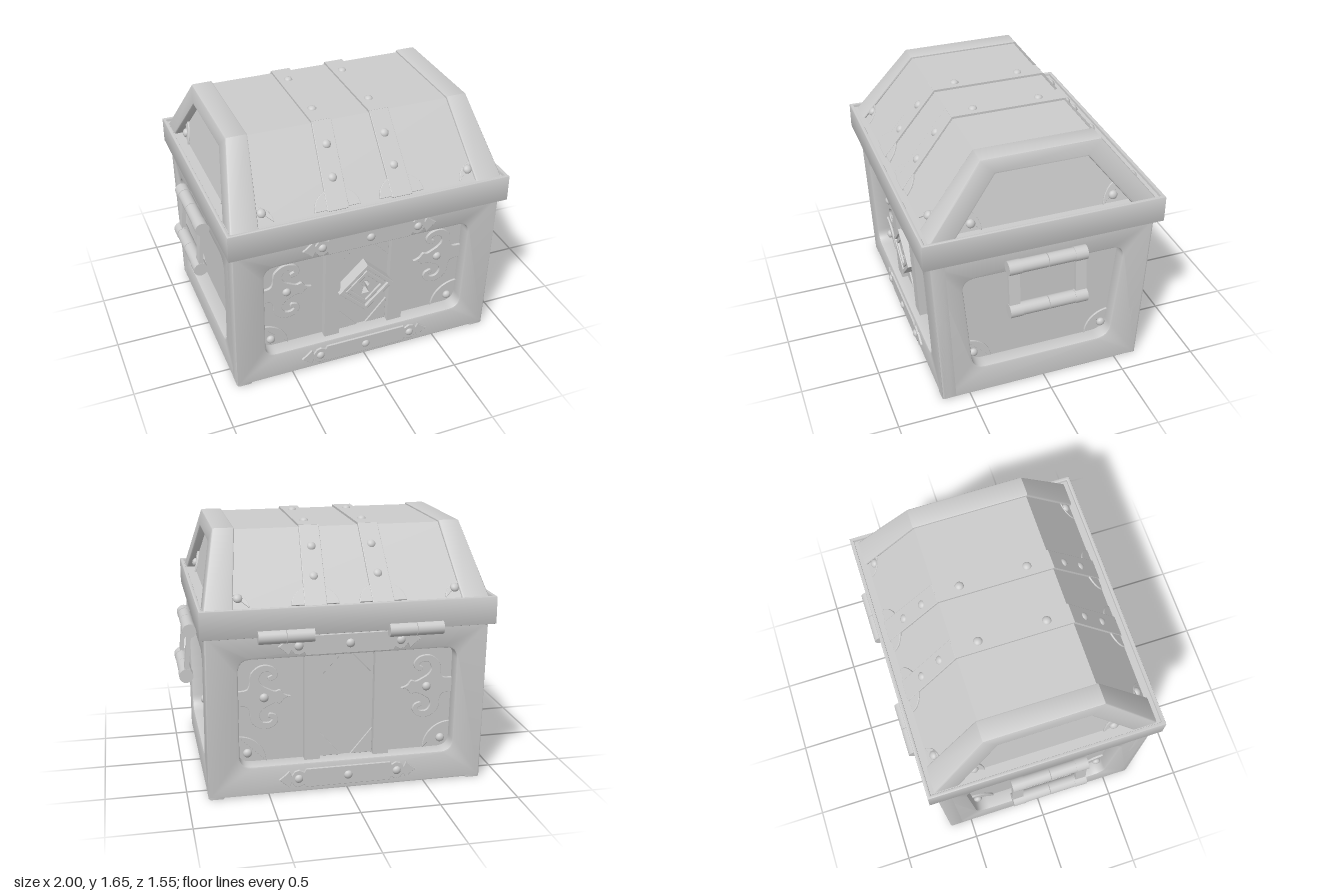
import * as THREE from 'three';
import { toCreasedNormals } from 'three/addons/utils/BufferGeometryUtils.js';

const mat = new THREE.MeshStandardMaterial({ color: 0xcccccc });
const RECESS = 0.09; // depth of the wall panels behind their frames
const FLOOR = -RECESS - 0.001;

function add(parent, name, geo, x = 0, y = 0, z = 0) {
  const m = new THREE.Mesh(geo, mat);
  m.name = name;
  m.position.set(x, y, z);
  parent.add(m);
  return m;
}

// A group whose local +z points out of one side of the chest, leaning by tilt
function face(parent, name, angle, dist, y = 0, tilt = 0) {
  const g = new THREE.Group();
  g.name = name;
  g.rotation.set(tilt, angle, 0, 'YXZ');
  g.position.set(Math.sin(angle) * dist, y, Math.cos(angle) * dist);
  parent.add(g);
  return g;
}

const poly = pts => new THREE.Shape(pts.map(p => new THREE.Vector2(...p)));
const flip = pts => pts.map(([x, y]) => [-x, y]).reverse();
const diamond = r => [[r, 0], [0, r], [-r, 0], [0, -r]];

function withHole(shape, path) {
  shape.holes.push(path);
  return shape;
}

function roundedPath(pts, r) {
  const path = new THREE.Path(), v = pts.map(p => new THREE.Vector2(...p)), n = v.length;
  const toward = (a, b) => b.clone().sub(a).setLength(r).add(a);
  v.forEach((p, i) => {
    const a = toward(p, v[(i + n - 1) % n]), b = toward(p, v[(i + 1) % n]);
    if (i) path.lineTo(a.x, a.y); else path.moveTo(a.x, a.y);
    path.quadraticCurveTo(p.x, p.y, b.x, b.y);
  });
  path.closePath();
  return path;
}

// Extruded plate from z = 0 to z = depth with its edges softened inside the outline
function plate(shape, depth, bevel = 0.003) {
  const g = new THREE.ExtrudeGeometry(shape, {
    depth: depth - 2 * bevel, bevelEnabled: bevel > 0, bevelThickness: bevel, bevelSize: bevel,
    bevelOffset: -bevel, bevelSegments: 2, curveSegments: 10,
  });
  return toCreasedNormals(g.translate(0, 0, bevel), bevel > 0.005 ? 0.6 : 0.3);
}

function rivet(parent, x, y, z) {
  add(parent, 'rivet', new THREE.SphereGeometry(0.028, 16, 12), x, y, z).scale.z = 0.75;
}

// Quarter-round corner plate; side = -1 puts it in the left corner
function cornerPlate(parent, side, x, y, z, r, rx, ry) {
  const s = new THREE.Shape();
  s.moveTo(0, 0);
  if (side < 0) s.absarc(0, 0, r, 0, Math.PI / 2);
  else s.absarc(0, 0, r, Math.PI / 2, Math.PI);
  add(parent, 'cornerPlate', plate(s, 0.014), side * x, y, z);
  rivet(parent, side * rx, ry, z + 0.014);
}

// Scrolled leaf ornament: upper outline, mirrored downwards
function leafShape() {
  const up = [[0.165, 0], [0.125, 0.015], [0.1, 0.045], [0.07, 0.038], [0.04, 0.05], [-0.01, 0.08],
    [-0.03, 0.12], [-0.01, 0.16], [0.03, 0.165], [0.05, 0.145], [0.025, 0.13], [0.035, 0.105],
    [0.075, 0.12], [0.085, 0.16], [0.05, 0.2], [-0.02, 0.207], [-0.08, 0.16], [-0.09, 0.09],
    [-0.11, 0.055], [-0.17, 0.05]];
  const curve = new THREE.SplineCurve(up.map(p => new THREE.Vector2(...p)));
  const top = curve.getPoints(70);
  const bottom = top.slice(1).reverse().map(p => new THREE.Vector2(p.x, -p.y));
  return new THREE.Shape([...top, ...bottom]);
}

// Horizontal strap with pointed leaf ends
function strapShape() {
  const lower = [[0.27, -0.062], [0.28, -0.042], [0.31, -0.058], [0.34, -0.05], [0.36, -0.022],
    [0.375, -0.055], [0.405, -0.027]];
  const upper = lower.map(([x, y]) => [x, -y]).reverse();
  const right = [...lower, [0.44, 0], ...upper];
  return poly([...right, ...flip(right).map(([x, y]) => [x, y])]);
}

// Front or back wall of the body with its fittings
function longWall(parent, front) {
  const f = face(parent, front ? 'frontWall' : 'backWall', front ? 0 : Math.PI, 0.665, 0, 0.043);
  const frame = withHole(poly([[-0.875, 0.004], [0.875, 0.004], [0.875, 1.055], [-0.875, 1.055]]),
    roundedPath([[-0.68, 0.2], [0.68, 0.2], [0.68, 0.9], [-0.68, 0.9]], 0.08));
  add(f, 'wallFrame', plate(frame, RECESS + 0.01, 0.012), 0, 0, -RECESS - 0.01);
  for (const y of [0.1, 0.975]) {
    add(f, 'strap', plate(strapShape(), 0.016), 0, y, -0.004);
    for (const x of [-0.315, 0, 0.315]) rivet(f, x, y, 0.008);
  }
  for (const s of [-1, 1]) {
    add(f, 'slat', new THREE.BoxGeometry(0.1, 0.72, 0.05), s * 0.22, 0.55, FLOOR + 0.025);
    cornerPlate(f, s, 0.68, 0.2, FLOOR, 0.175, 0.622, 0.262);
    const leaf = add(f, 'leafOrnament', plate(leafShape(), 0.018), s * 0.515, 0.625, s < 0 ? FLOOR : FLOOR + 0.018);
    if (s > 0) leaf.rotation.y = Math.PI;
    rivet(f, s * 0.515, 0.625, FLOOR + 0.018);
    for (const t of [[[-0.17, 0.73], [-0.01, 0.9], [-0.17, 0.9]], [[-0.17, 0.2], [-0.03, 0.2], [-0.17, 0.37]]])
      add(f, 'panelCorner', plate(poly(s < 0 ? t : flip(t)), 0.012), 0, 0, FLOOR);
  }
  if (!front) return;
  // Diamond lock with stepped rings and a keyhole
  const key = new THREE.Path();
  key.absarc(0, 0.02, 0.024, -1, Math.PI + 1);
  key.lineTo(-0.024, -0.05);
  key.lineTo(0.024, -0.05);
  key.closePath();
  const ring = (a, b) => withHole(poly(diamond(a)), new THREE.Path(poly(diamond(b)).getPoints()));
  add(f, 'lockRing', plate(ring(0.185, 0.15), 0.075), 0, 0.55, FLOOR);
  add(f, 'lockInnerRing', plate(ring(0.135, 0.1), 0.07), 0, 0.55, FLOOR);
  add(f, 'lockPlate', plate(withHole(poly(diamond(0.16)), key), 0.058), 0, 0.55, FLOOR);
}

// Rod running along local x, built from two mirrored halves
function rod(parent, y, z) {
  for (const s of [-1, 1]) for (const [x, len, r] of [[0.21, 0.08, 0.045], [0.086, 0.168, 0.042]])
    add(parent, 'handleRod', new THREE.CylinderGeometry(r, r, len, 20), s * x, y, z).rotation.z = Math.PI / 2;
}

// Side wall with carrying handle
function sideWall(parent, s) {
  const f = face(parent, s > 0 ? 'leftWall' : 'rightWall', s * Math.PI / 2, 0.875);
  const frame = withHole(poly([[-0.665, 0], [0.665, 0], [0.71, 1.055], [-0.71, 1.055]]),
    roundedPath([[-0.46, 0.2], [0.46, 0.2], [0.523, 0.9], [-0.523, 0.9]], 0.09));
  add(f, 'wallFrame', plate(frame, RECESS + 0.01, 0.012), 0, 0, -RECESS - 0.01);
  for (const c of [-1, 1]) cornerPlate(f, c, 0.485, 0.2, FLOOR, 0.165, 0.435, 0.265);
  const h = face(parent, s > 0 ? 'leftHandle' : 'rightHandle', s * Math.PI / 2, 0);
  h.position.z = 0.01;
  rod(h, 0.965, 0.925);
  rod(h, 0.67, 0.955);
  for (const c of [-1, 1])
    add(h, 'handleBar', new THREE.BoxGeometry(0.07, 0.28, 0.026), c * 0.213, 0.8175, 0.94).rotation.x = -0.1;
}

// Sloped arch framing one end of the lid
function lidArch() {
  const half = [[0.724, 1.19], [0.37, 1.635]], hole = [[0.285, 1.54], [0.564, 1.19]];
  const g = plate(poly([...half, ...flip(half), ...flip(hole), ...hole]), 0.16, 0.012);
  const p = g.attributes.position;
  for (let i = 0; i < p.count; i++) {
    const h = p.getY(i) - 1.22;
    p.setZ(i, THREE.MathUtils.lerp(0.7 - h * 0.145, 0.87 - h * 0.229, p.getZ(i) / 0.16));
  }
  return toCreasedNormals(g, 0.6);
}

function lid(parent) {
  const g = new THREE.Group();
  g.name = 'lid';
  parent.add(g);
  // Main shell with leaning ends
  const shell = plate(poly([[-0.705, 1.19], [0.705, 1.19], [0.361, 1.623], [-0.361, 1.623]]), 2, 0);
  const p = shell.attributes.position;
  for (let i = 0; i < p.count; i++)
    p.setZ(i, (p.getZ(i) - 1) * (0.82 - (p.getY(i) - 1.2) * 0.229));
  shell.computeVertexNormals();
  add(face(g, 'lidShell', Math.PI / 2, 0), 'shell', shell);

  for (const s of [-1, 1]) {
    add(face(g, 'lidEnd', s * Math.PI / 2, 0), 'endArch', lidArch());
    const end = face(g, 'lidEndFittings', s * Math.PI / 2, 0.82, 1.2, -0.225);
    for (const c of [-1, 1]) cornerPlate(end, c, 0.55, 0, -0.001, 0.17, 0.445, 0.057);
    // Strap across the flat top
    add(g, 'topStrap', new THREE.BoxGeometry(0.125, 0.016, 0.735), s * 0.185, 1.629, 0);
    for (const z of [-0.213, 0.213]) {
      const top = face(g, 'topRivet', 0, 0);
      top.rotation.x = -Math.PI / 2;
      top.position.set(s * 0.185, 1.633, z);
      rivet(top, 0, 0, 0);
    }
    // Front and back slopes
    const slope = face(g, 'lidSlope', s > 0 ? 0 : Math.PI, 0.681, 1.22, -0.672);
    for (const c of [-1, 1]) {
      const strap = [[0.14, -0.02], [0.275, -0.02], [0.2475, 0.522], [0.1225, 0.522]];
      add(slope, 'slopeStrap', plate(poly(c > 0 ? strap : flip(strap)), 0.016), 0, 0, -0.002);
      const foot = new THREE.Shape().absellipse(0, 0, 0.145, 0.125, 0, Math.PI);
      add(slope, 'strapFoot', plate(foot, 0.012), c * 0.207, -0.01, -0.002);
      rivet(slope, c * 0.198, 0.175, 0.008);
      rivet(slope, c * 0.187, 0.375, 0.008);
      cornerPlate(slope, c, 0.71, -0.01, -0.008, 0.11, 0.665, 0.055);
    }
  }
}

export function createModel() {
  const root = new THREE.Group();
  root.name = 'chest';
  const g = new THREE.Group();
  g.name = 'chestParts';
  g.position.z = 0.015;
  root.add(g);

  // Inner body whose faces are the recessed panels
  const b = 0.665 - RECESS, t = 0.71 - RECESS, w = 0.875 - RECESS;
  const core = plate(poly([[-b, 0], [b, 0], [t, 1.055], [-t, 1.055]]), 2 * w, 0);
  add(face(g, 'body', Math.PI / 2, 0), 'innerBody', core, 0, 0, -w);
  longWall(g, true);
  longWall(g, false);
  sideWall(g, 1);
  sideWall(g, -1);

  // Rim tray that holds the lid
  const rect = (x, z) => [[-x, -z], [x, -z], [x, z], [-x, z]];
  const rim = withHole(poly(rect(0.905, 0.76)), new THREE.Path(poly(rect(0.882, 0.737)).getPoints()));
  add(g, 'rim', plate(rim, 0.175, 0.006), 0, 1.05, 0).rotation.x = -Math.PI / 2;
  add(g, 'rimFloor', new THREE.BoxGeometry(1.78, 0.153, 1.49), 0, 1.1285, 0);
  lid(g);

  // Back hinges
  const back = face(g, 'hinges', Math.PI, 0);
  for (const s of [-1, 1]) for (const k of [-1, 1])
    add(back, 'hingeKnuckle', new THREE.CylinderGeometry(0.042, 0.042, 0.167, 20), s * 0.397 + k * 0.085, 1.05, 0.752)
      .rotation.z = Math.PI / 2;
  return root;
}
